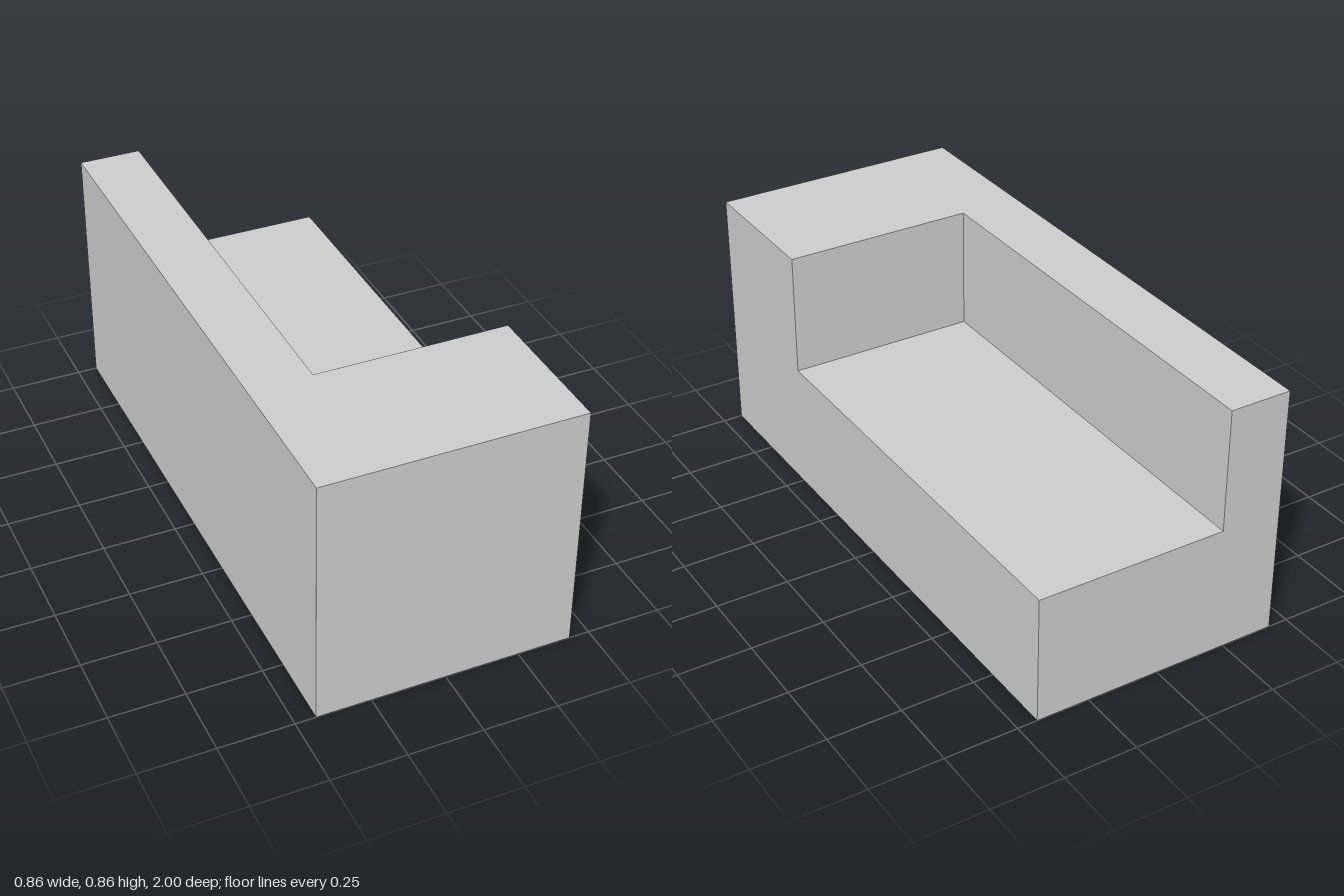
import * as THREE from 'three';

const W = 0.432;      // half width
const SEAT = 0.442;   // height of the low step
const TOP = 0.864;    // full height

export function createModel() {
  const group = new THREE.Group();
  const material = new THREE.MeshStandardMaterial({ color: 0xcccccc, flatShading: true });

  const add = (name, geometry) => {
    const mesh = new THREE.Mesh(geometry, material);
    mesh.name = name;
    group.add(mesh);
  };

  // Solid block under the whole footprint
  add('base', new THREE.BoxGeometry(2 * W, SEAT, 2).translate(0, SEAT / 2, 0));

  // L-shaped upper part: wall along the right side and block at the front
  const plan = [[-W, 1], [W, 1], [W, 0.5], [-0.22, 0.5], [-0.22, -1], [-W, -1]];
  const shape = new THREE.Shape(plan.map(([x, z]) => new THREE.Vector2(x, -z)));
  const upper = new THREE.ExtrudeGeometry(shape, { depth: TOP - SEAT, bevelEnabled: false });
  add('backAndArm', upper.rotateX(-Math.PI / 2).translate(0, SEAT, 0));

  return group;
}
